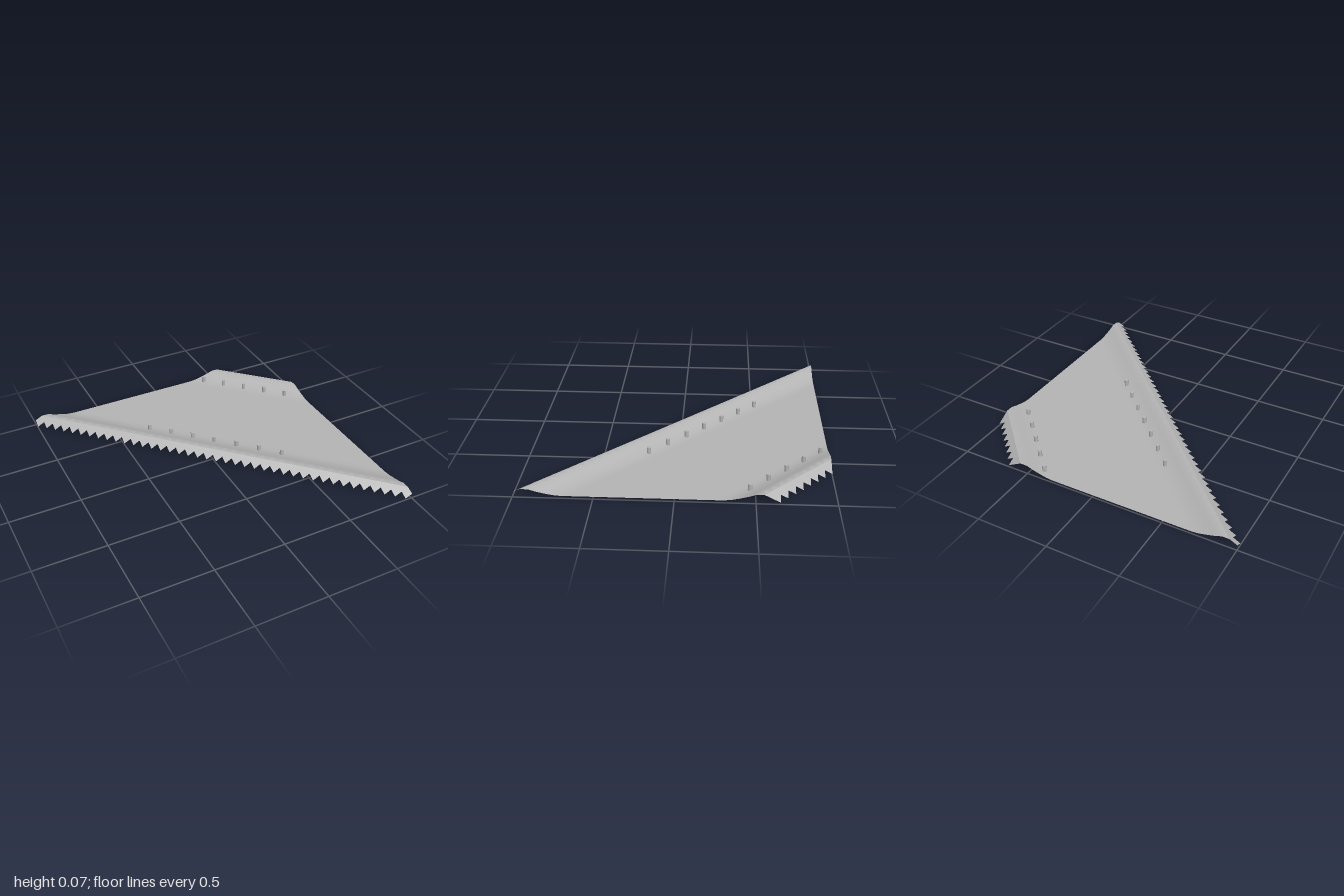
import * as THREE from 'three';

const N = 40, STEP = 2 / N;   // cells along each side of the square grid
const BAND = 33;              // last diagonal inside the plate

// Height from the stepped edge inwards: lip tip, crest, then flat floor
const PROFILE = [0.012, 0.038, 0.063, 0.063, 0.046, 0.033, 0.022, 0.017];

function height(i, j) {
  const d = i - j;
  const long = d + 1, short = BAND - d;
  const e = Math.min(long, short, PROFILE.length - 1);
  // the long crest gets slightly lower towards the front
  const taper = long < short ? 1.06 - 0.16 * (i + j) / (2 * N) : 1.02;
  const floor = PROFILE[PROFILE.length - 1];
  return PROFILE[e] > floor ? floor + (PROFILE[e] - floor) * taper : PROFILE[e];
}

// Sheet made of the grid cells whose diagonal lies in [from, to]
function sheet(from, to) {
  const pos = [], index = [], seen = new Map();
  const vertex = (i, j) => {
    const key = i * (N + 1) + j;
    if (!seen.has(key)) {
      seen.set(key, pos.length / 3);
      pos.push(-1 + i * STEP, height(i, j), -1 + j * STEP);
    }
    return seen.get(key);
  };
  for (let j = 0; j < N; j++) {
    for (let i = 0; i < N; i++) {
      if (i - j < from || i - j > to) continue;
      const a = vertex(i, j), b = vertex(i, j + 1);
      const c = vertex(i + 1, j + 1), d = vertex(i + 1, j);
      index.push(a, b, c, a, c, d);
    }
  }
  const g = new THREE.BufferGeometry();
  g.setAttribute('position', new THREE.Float32BufferAttribute(pos, 3));
  g.setIndex(index);
  g.computeVertexNormals();
  return g;
}

export function createModel() {
  const group = new THREE.Group();
  const grey = new THREE.MeshStandardMaterial({ color: 0xb4b4b4, side: THREE.DoubleSide });
  grey.name = 'grey';

  const add = (geometry, name) => {
    const mesh = new THREE.Mesh(geometry, grey);
    mesh.name = name;
    group.add(mesh);
    return mesh;
  };

  // Plate, with a two-cell toothed lip along each diagonal edge
  add(sheet(2, BAND - 3), 'plate');
  for (const [from, name] of [[0, 'longLip'], [BAND - 2, 'shortLip']]) {
    const flat = sheet(from, from + 1).toNonIndexed();
    flat.computeVertexNormals();
    add(flat, name);
  }

  // Rows of pins passing through the plate
  const pin = new THREE.CylinderGeometry(0.014, 0.014, 0.066, 8);
  const pinRow = (count, x, z, name) => {
    for (let k = 0; k < count; k++) {
      add(pin, name).position.set(x + 0.12 * k, 0.033, z + 0.12 * k);
    }
  };
  pinRow(7, -0.265, -0.52, 'longRowPin');
  pinRow(5, 0.4, -0.945, 'shortRowPin');

  return group;
}
